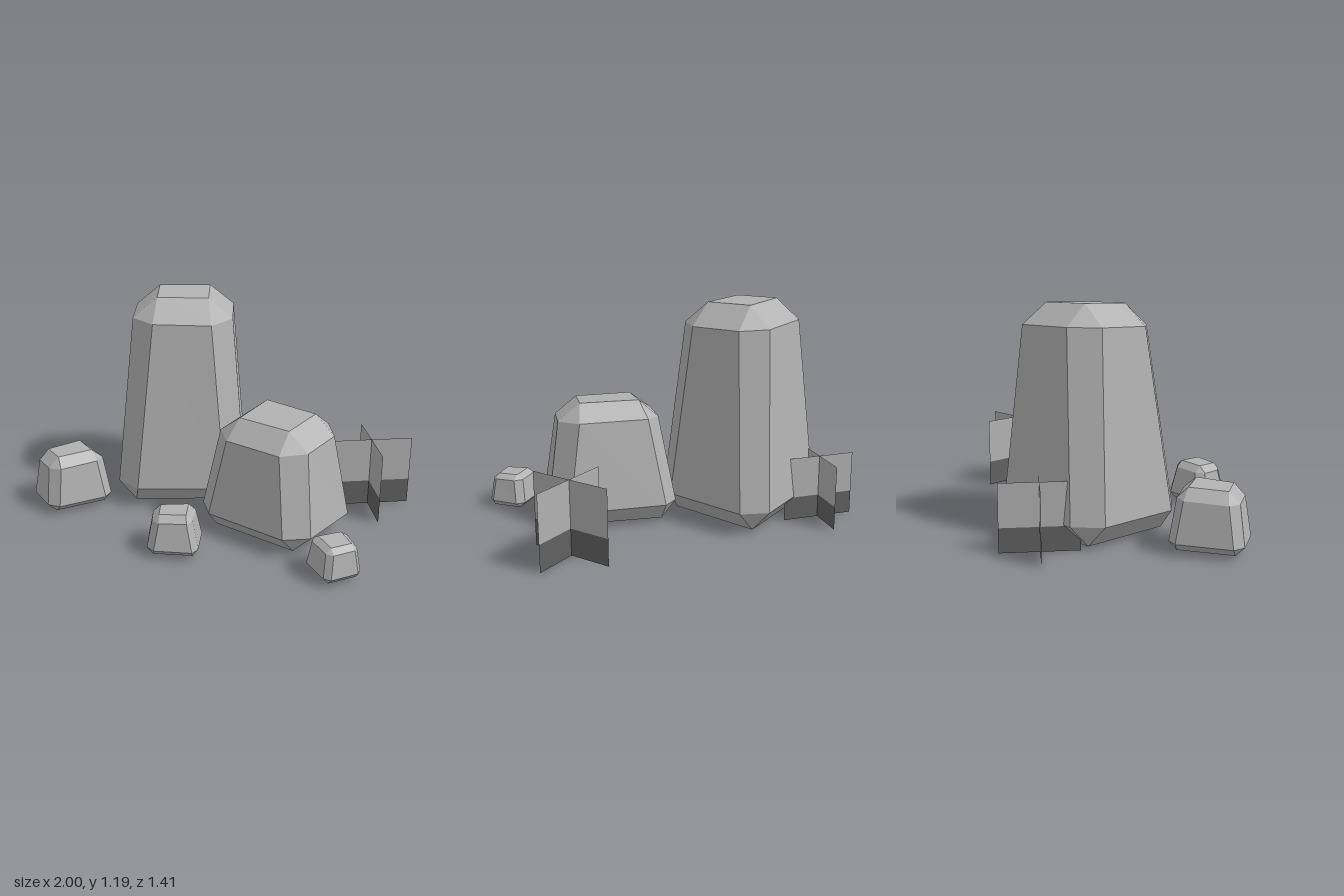
import * as THREE from 'three';

// Footprint of each rock at its widest: pairs of points are the cut corners.
// levels: bottom, widest, shoulder, top. scale: shrink of bottom, shoulder, top.
const ROCKS = [
  { name: 'tallRock', levels: [0.017, 0.13, 1.068, 1.18], scale: [0.87, 0.71, 0.46], shift: [0.008, -0.015], tilt: [-0.03, -0.02],
    outline: [[-0.195, -0.61], [-0.05, -0.55], [0.12, -0.11], [0.065, 0.065], [-0.39, 0.25], [-0.54, 0.19], [-0.705, -0.215], [-0.65, -0.375]] },
  { name: 'mediumRock', levels: [0.017, 0.115, 0.562, 0.655], scale: [0.85, 0.75, 0.525], shift: [0.003, 0.008], tilt: [0.02, -0.08],
    outline: [[0.7, -0.085], [0.77, 0.045], [0.665, 0.38], [0.535, 0.45], [0.08, 0.335], [0, 0.22], [0.12, -0.17], [0.205, -0.22]] },
  { name: 'leftSmallRock', levels: [0.02, 0.06, 0.272, 0.327], scale: [0.87, 0.81, 0.6], shift: [0, 0], tilt: [0.05, 0],
    outline: [[-0.84, 0.09], [-0.78, 0.08], [-0.58, 0.22], [-0.58, 0.285], [-0.755, 0.49], [-0.83, 0.495], [-0.985, 0.385], [-1, 0.32]] },
  { name: 'middleSmallRock', levels: [0.018, 0.052, 0.2, 0.235], scale: [0.87, 0.76, 0.6], shift: [0, 0], tilt: [0.04, 0],
    outline: [[0.04, 0.415], [0.085, 0.435], [0.135, 0.6], [0.12, 0.645], [-0.07, 0.7], [-0.12, 0.675], [-0.175, 0.54], [-0.15, 0.49]] },
  { name: 'rightSmallRock', levels: [0.018, 0.048, 0.175, 0.2], scale: [0.87, 0.82, 0.63], shift: [0, 0], tilt: [-0.02, -0.02],
    outline: [[0.8, 0.345], [0.85, 0.35], [0.945, 0.465], [0.945, 0.5], [0.84, 0.61], [0.8, 0.61], [0.68, 0.5], [0.675, 0.46]] },
];

// Tapered block with cut edges: four-cornered ends, eight-sided body.
function rockGeometry({ outline, levels, scale, shift, tilt }) {
  const corners = [0, 2, 4, 6].map((i) => [0, 1].map((k) => (outline[i][k] + outline[i + 1][k]) / 2));
  const centre = [0, 1].map((k) => corners.reduce((sum, c) => sum + c[k], 0) / 4);

  // keep = 1 keeps the corner cut at full width, 0 closes it to a point
  const ring = (y, s, keep, upper) => outline.map((p, i) => {
    const c = corners[i >> 1];
    const [dx, dz] = [0, 1].map((k) => (c[k] - centre[k]) * s + (p[k] - c[k]) * keep);
    return [
      centre[0] + dx + upper * shift[0],
      y + upper * (tilt[0] * dx + tilt[1] * dz),
      centre[1] + dz + upper * shift[1],
    ];
  });
  const rings = [
    ring(levels[0], scale[0], 0, 0),
    ring(levels[1], 1, 1, 0),
    ring(levels[2], scale[1], 1, 1),
    ring(levels[3], scale[2], 0, 1),
  ];

  const positions = [];
  const same = (a, b) => a.every((v, k) => Math.abs(v - b[k]) < 1e-6);
  const triangle = (a, b, c) => {
    if (!same(a, b) && !same(b, c) && !same(c, a)) positions.push(...a, ...b, ...c);
  };
  for (let r = 0; r < 3; r++) {
    for (let i = 0; i < 8; i++) {
      const j = (i + 1) % 8;
      const [low, high] = [rings[r], rings[r + 1]];
      triangle(low[i], high[i], high[j]);
      triangle(low[i], high[j], low[j]);
    }
  }
  const [bottom, , , top] = rings;
  triangle(bottom[0], bottom[2], bottom[4]);
  triangle(bottom[0], bottom[4], bottom[6]);
  triangle(top[0], top[6], top[4]);
  triangle(top[0], top[4], top[2]);

  const geometry = new THREE.BufferGeometry();
  geometry.setAttribute('position', new THREE.Float32BufferAttribute(positions, 3));
  geometry.computeVertexNormals();
  return geometry;
}

// Two upright crossed cards, each with a dark lower band.
function grassTuft(name, x, z, width, height, angle, upperMaterial, lowerMaterial) {
  const tuft = new THREE.Group();
  tuft.name = name;
  tuft.position.set(x, 0, z);
  const split = height * 0.36;
  for (const turn of [0, Math.PI / 2]) {
    const bands = [['lowerBlades', 0, split, lowerMaterial], ['upperBlades', split, height, upperMaterial]];
    for (const [part, from, to, material] of bands) {
      const card = new THREE.Mesh(new THREE.PlaneGeometry(width, to - from), material);
      card.name = part;
      card.position.y = (from + to) / 2;
      card.rotation.y = angle + turn;
      tuft.add(card);
    }
  }
  return tuft;
}

export function createModel() {
  const model = new THREE.Group();
  model.name = 'rockCluster';

  const stone = new THREE.MeshStandardMaterial({ color: 0xb2b2b2 });
  stone.name = 'stone';
  const upper = new THREE.MeshStandardMaterial({ color: 0xb0b0b0, side: THREE.DoubleSide });
  upper.name = 'paleBlades';
  const lower = new THREE.MeshStandardMaterial({ color: 0x606060, side: THREE.DoubleSide });
  lower.name = 'darkBlades';

  // Rocks
  for (const rock of ROCKS) {
    const mesh = new THREE.Mesh(rockGeometry(rock), stone);
    mesh.name = rock.name;
    model.add(mesh);
  }

  // Grass tufts behind the rocks
  model.add(grassTuft('largeTuft', 0.795, -0.325, 0.465, 0.4, 0.492, upper, lower));
  model.add(grassTuft('smallTuft', -0.585, -0.51, 0.4, 0.35, -0.192, upper, lower));
  return model;
}
